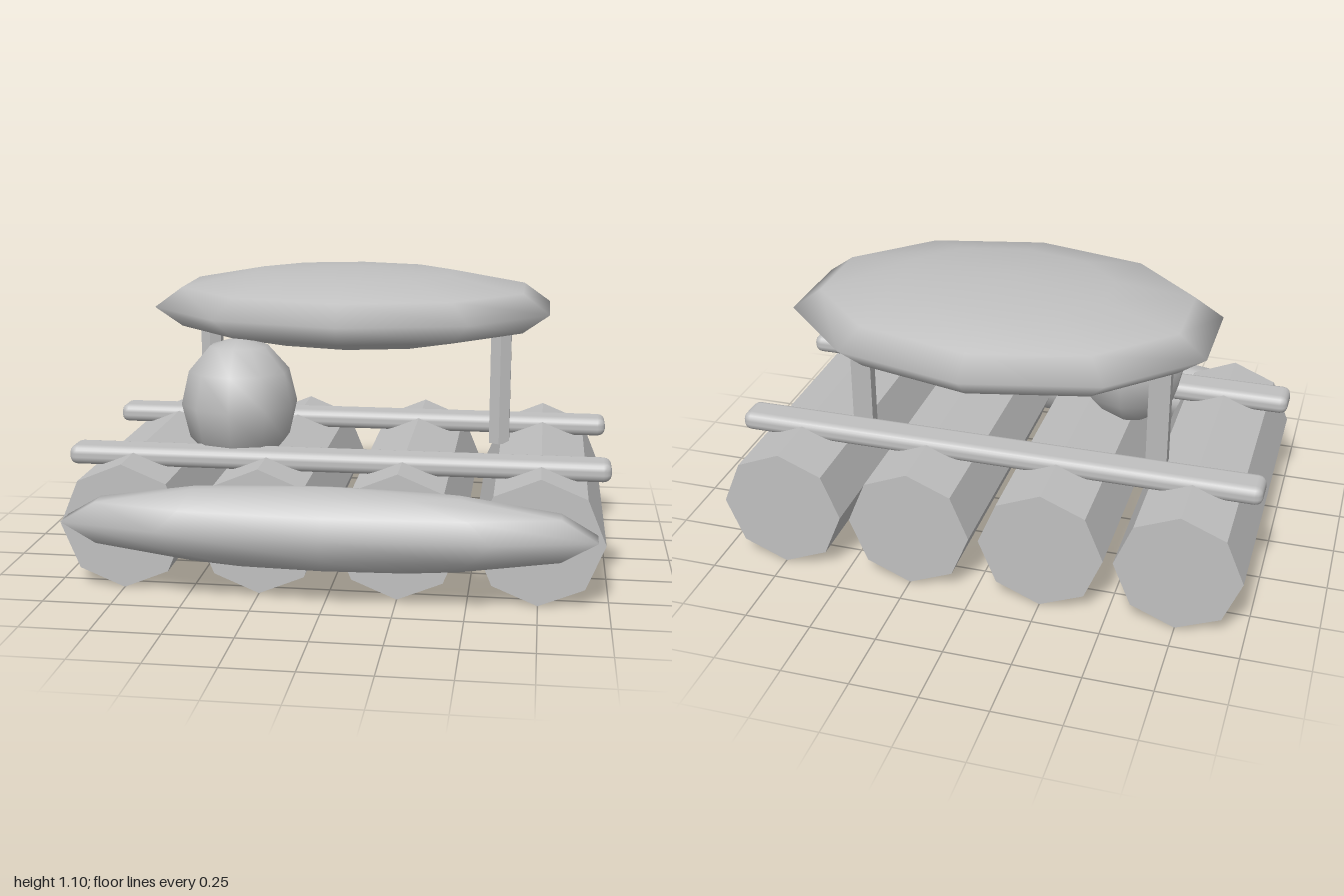
import * as THREE from 'three';
import { RoundedBoxGeometry } from 'three/addons/geometries/RoundedBoxGeometry.js';

export function createModel() {
  const group = new THREE.Group();
  const grey = new THREE.MeshStandardMaterial({ color: 0xc0c0c0 });
  grey.name = 'plainGrey';

  function add(name, geometry, x, y, z) {
    const mesh = new THREE.Mesh(geometry, grey);
    mesh.name = name;
    mesh.position.set(x, y, z);
    group.add(mesh);
    return mesh;
  }

  // Cylinder with hard edges between its sides
  function faceted(radius, length, sides) {
    const g = new THREE.CylinderGeometry(radius, radius, length, sides).toNonIndexed();
    g.computeVertexNormals();
    return g;
  }

  // Smooth ten-sided ellipsoid with a corner pointing forwards
  function ellipsoid(rx, ry, rz) {
    return new THREE.SphereGeometry(1, 10, 6).rotateY(Math.PI / 2).scale(rx, ry, rz);
  }

  // Four octagonal logs
  const logGeometry = faceted(0.232, 1.21, 8).rotateX(Math.PI / 2);
  for (const x of [-0.75, -0.25, 0.25, 0.75]) add('log', logGeometry, x, 0.232, -0.037);

  // Rounded bars across the logs
  const barGeometry = new RoundedBoxGeometry(2, 0.073, 0.13, 2, 0.03);
  add('frontCrossbar', barGeometry, 0, 0.445, 0.337);
  add('backCrossbar', barGeometry, 0, 0.445, -0.355);

  // Hexagonal posts holding the canopy
  const postGeometry = faceted(0.046, 0.46, 6);
  for (const side of [-1, 1]) add(side > 0 ? 'leftPost' : 'rightPost', postGeometry, side * 0.58, 0.63, -0.2);

  // Canopy, standing pod and bumper roll
  add('canopy', ellipsoid(0.805, 0.152, 0.575), 0, 0.943, -0.2);
  add('pod', ellipsoid(0.22, 0.252, 0.21), -0.39, 0.62, 0.185);
  add('frontBumper', ellipsoid(1, 0.152, 0.155), 0, 0.272, 0.62);

  return group;
}
